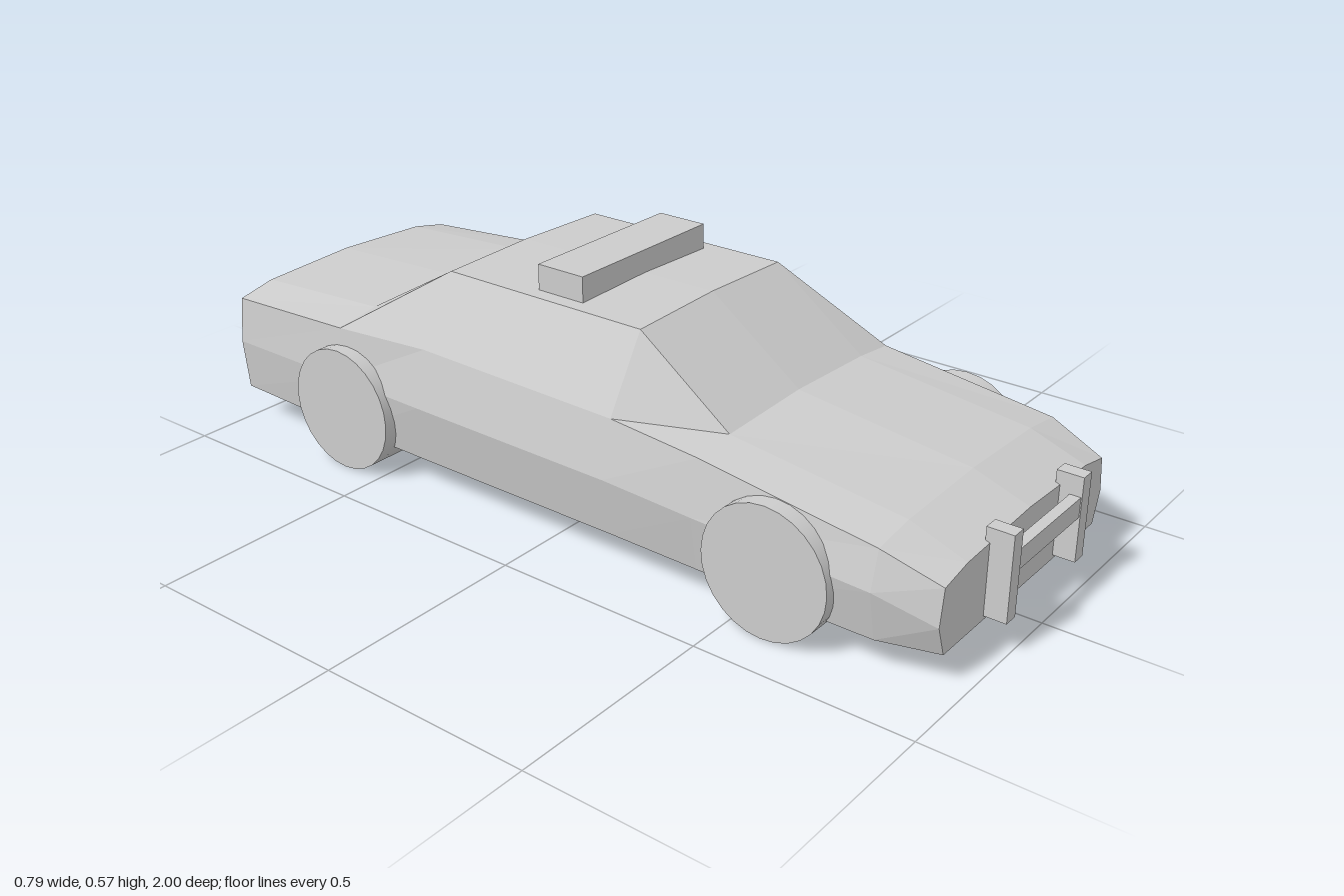
import * as THREE from 'three';

// Body cross-sections, front to back: z, then half profile [x, y]
// sill, waist, shoulder, roof edge, centre line
const SECTIONS = [
  [0.95, [[0.32, 0.07], [0.345, 0.14], [0.333, 0.222], [0.25, 0.238], [0, 0.248]]],
  [0.82, [[0.357, 0.07], [0.38, 0.185], [0.357, 0.27], [0.25, 0.285], [0, 0.293]]],
  [0.40, [[0.357, 0.07], [0.38, 0.2], [0.357, 0.325], [0.25, 0.336], [0, 0.345]]],
  [0.17, [[0.357, 0.073], [0.38, 0.21], [0.35, 0.34], [0.25, 0.506], [0, 0.513]]],
  [-0.37, [[0.357, 0.075], [0.38, 0.215], [0.348, 0.348], [0.25, 0.506], [0, 0.512]]],
  [-0.63, [[0.357, 0.077], [0.375, 0.215], [0.36, 0.337], [0.25, 0.355], [0, 0.362]]],
  [-1.0, [[0.345, 0.08], [0.357, 0.205], [0.345, 0.315], [0.25, 0.335], [0, 0.346]]],
];

// Mirror each half profile into a closed ring and skin the rings
function bodyGeometry() {
  const rings = SECTIONS.map(([z, half]) => {
    const mirrored = half.slice(0, -1).reverse().map(([x, y]) => [-x, y]);
    return [...half, ...mirrored].map(([x, y]) => [x, y, z]);
  });
  const n = rings[0].length;
  const last = rings.length - 1;
  const positions = [];
  const tri = (a, b, c) => positions.push(...a, ...b, ...c);
  for (let i = 0; i < last; i++) {
    for (let k = 0; k < n; k++) {
      const j = (k + 1) % n;
      tri(rings[i][k], rings[i + 1][k], rings[i + 1][j]);
      tri(rings[i][k], rings[i + 1][j], rings[i][j]);
    }
  }
  // Nose and tail caps
  for (let k = 1; k < n - 1; k++) {
    tri(rings[0][0], rings[0][k], rings[0][k + 1]);
    tri(rings[last][0], rings[last][k + 1], rings[last][k]);
  }
  const geometry = new THREE.BufferGeometry();
  geometry.setAttribute('position', new THREE.Float32BufferAttribute(positions, 3));
  geometry.computeVertexNormals();
  return geometry;
}

export function createModel() {
  const grey = new THREE.MeshStandardMaterial({ color: 0xcccccc });
  grey.name = 'plainGrey';
  const model = new THREE.Group();
  model.name = 'car';

  const add = (name, geometry, x = 0, y = 0, z = 0) => {
    const mesh = new THREE.Mesh(geometry, grey);
    mesh.name = name;
    mesh.position.set(x, y, z);
    model.add(mesh);
  };

  add('body', bodyGeometry());

  // Wheels
  const wheel = new THREE.CylinderGeometry(0.149, 0.149, 0.16, 28).rotateZ(Math.PI / 2);
  for (const [end, z] of [['front', 0.588], ['rear', -0.607]]) {
    add(end + 'LeftWheel', wheel, 0.317, 0.149, z);
    add(end + 'RightWheel', wheel, -0.317, 0.149, z);
  }

  // Roof light bar
  add('lightBar', new THREE.BoxGeometry(0.43, 0.067, 0.125), 0, 0.533, -0.077);

  // Push bar on the nose
  const post = new THREE.BoxGeometry(0.035, 0.195, 0.06);
  add('pushBarLeftPost', post, 0.148, 0.177, 0.97);
  add('pushBarRightPost', post, -0.148, 0.177, 0.97);
  add('pushBarCrossbar', new THREE.BoxGeometry(0.27, 0.046, 0.025), 0, 0.206, 0.985);

  return model;
}
